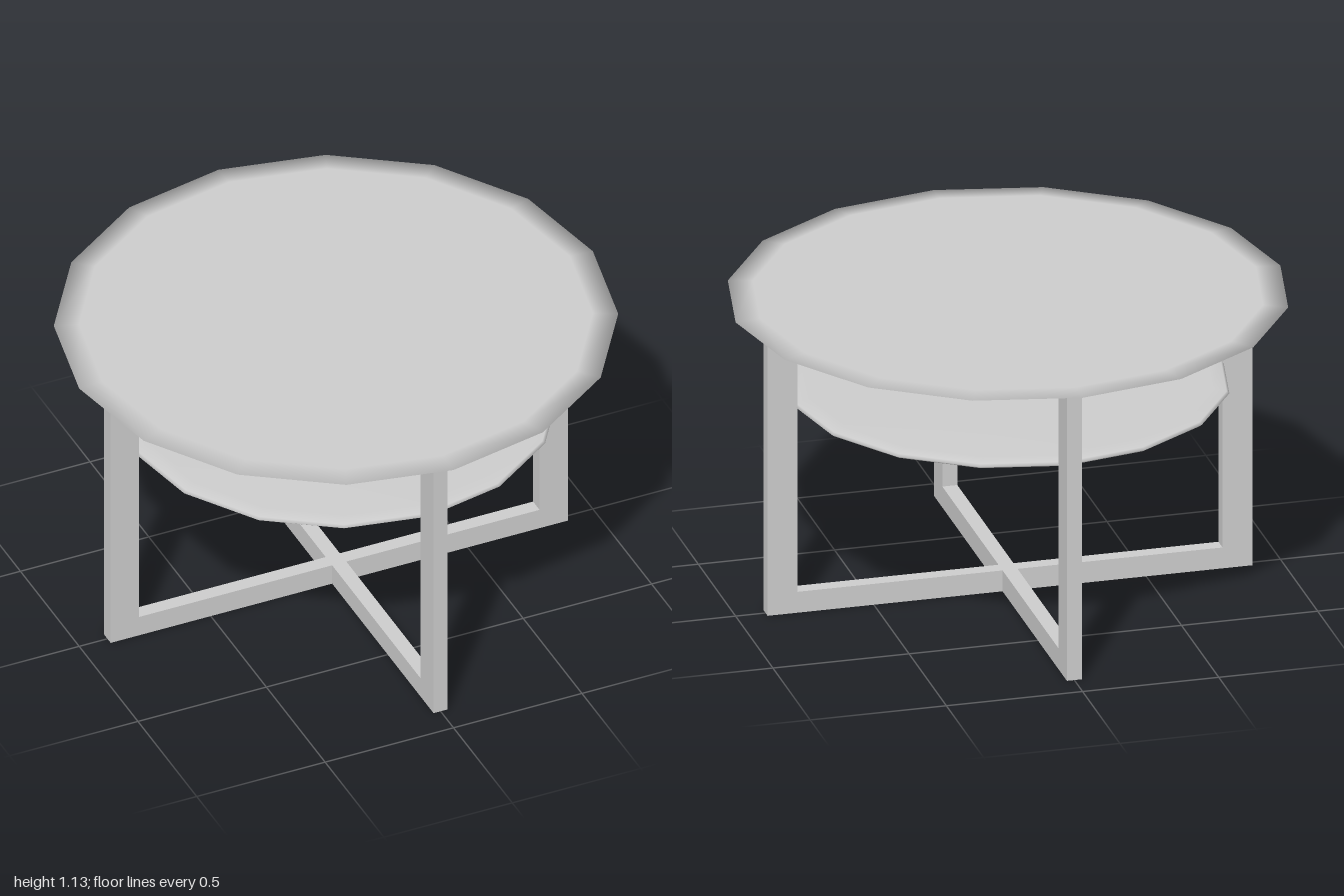
import * as THREE from 'three';

const material = new THREE.MeshStandardMaterial({ color: 0xcccccc });

// Thin sixteen-sided disc with a softly shaded rim, turned from [radius, y] points
function disc(name, profile) {
  const points = profile.map(([r, y]) => new THREE.Vector2(r, y));
  const mesh = new THREE.Mesh(new THREE.LatheGeometry(points, 16), material);
  mesh.name = name;
  return mesh;
}

// U-shaped frame: two uprights joined by a floor rail
function legFrame(name, angle) {
  const outer = 0.89, inner = 0.78, height = 1.122, rail = 0.08, width = 0.055;
  const outline = new THREE.Shape([
    [-outer, 0], [outer, 0], [outer, height], [inner, height],
    [inner, rail], [-inner, rail], [-inner, height], [-outer, height],
  ].map(([x, y]) => new THREE.Vector2(x, y)));
  const geometry = new THREE.ExtrudeGeometry(outline, { depth: width, bevelEnabled: false });
  geometry.translate(0, 0, -width / 2);
  const mesh = new THREE.Mesh(geometry, material);
  mesh.name = name;
  mesh.rotation.y = angle;
  return mesh;
}

export function createModel() {
  const table = new THREE.Group();
  table.name = 'roundTable';

  table.add(disc('tableTop', [
    [0, 1.12], [0.91, 1.12], [1, 1.125], [0.91, 1.13], [0, 1.13],
  ]));
  table.add(disc('lowerShelf', [
    [0, 0.766], [0.73, 0.768], [0.78, 0.777], [0.79, 0.785],
    [0.78, 0.793], [0.73, 0.802], [0, 0.804],
  ]));

  // Two crossed frames
  table.add(legFrame('sideLegFrame', 0));
  table.add(legFrame('frontBackLegFrame', Math.PI / 2));
  return table;
}
